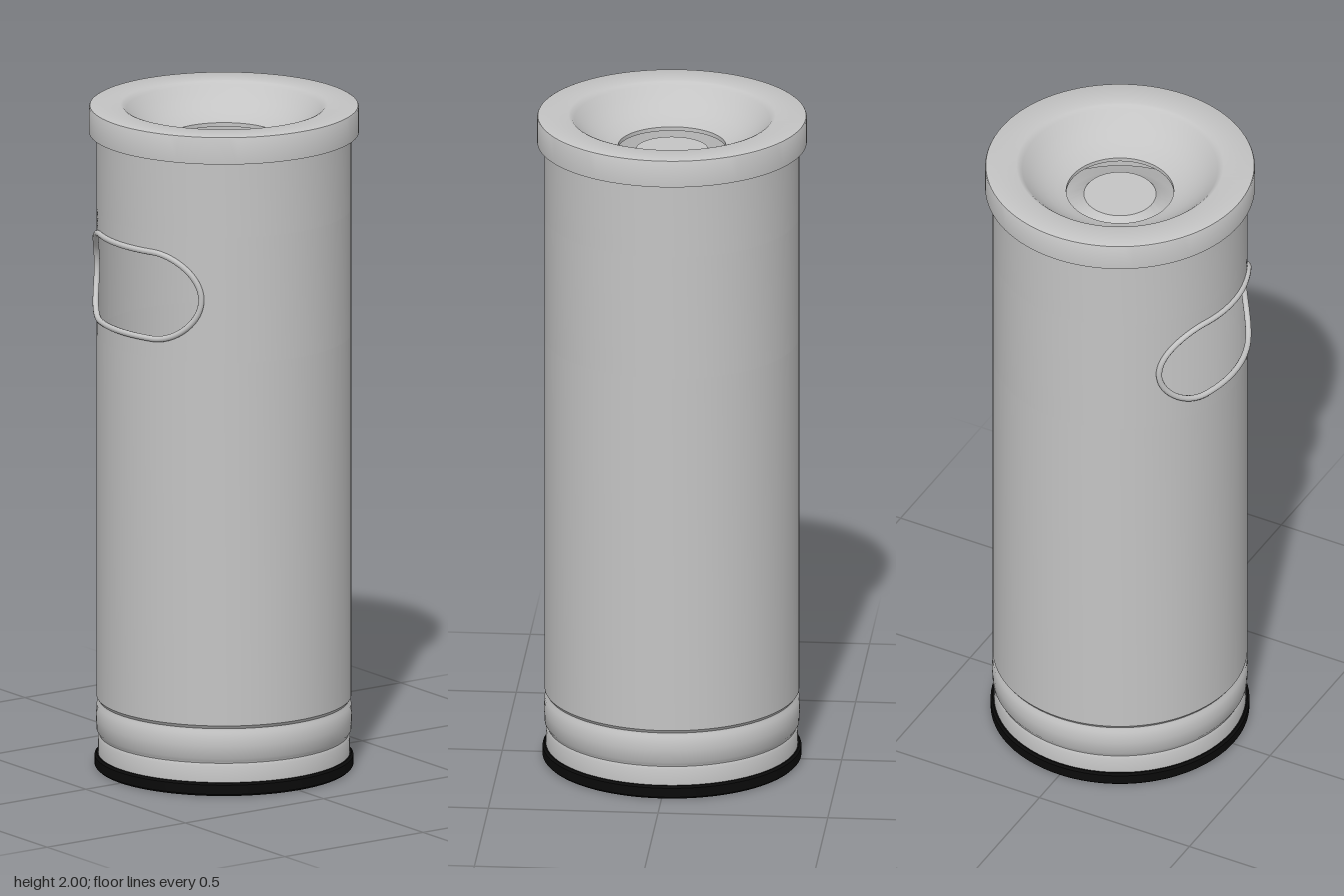
import * as THREE from 'three';
import { toCreasedNormals } from 'three/addons/utils/BufferGeometryUtils.js';

const SEG = 96;                          // sides of the full cylinder
const R = 0.374;                         // body radius
const HALF = 16;                         // segments from the middle to the side of the front panel
const TH = (HALF / SEG) * Math.PI * 2;   // half angle of the front panel
const Y_MID = 1.5, Y_HALF = 0.19;        // panel centre and half height
const SLOT_R = 0.131, SLOT_FLAT = 0.129; // slot end radius and half straight length

const steel = new THREE.MeshStandardMaterial({ color: 0xc4c4c4, side: THREE.DoubleSide });
steel.name = 'brushed steel';
const rubber = new THREE.MeshStandardMaterial({ color: 0x0a0a0a });
rubber.name = 'black rubber';

function add(group, name, geometry, material) {
  const mesh = new THREE.Mesh(geometry, material);
  mesh.name = name;
  group.add(mesh);
}

// Turned part from [radius, height] pairs, with sharp corners kept sharp
function turned(points, segments = SEG, start = 0, length = Math.PI * 2) {
  const profile = points.map(([r, y]) => new THREE.Vector2(r, y));
  return toCreasedNormals(new THREE.LatheGeometry(profile, segments, start, length), 0.6);
}

// Point on the wall of the panel; u and v run from -1 to 1
function onWall(u, v, radius = R) {
  return new THREE.Vector3(Math.sin(u * TH) * radius, Y_MID + v * Y_HALF, Math.cos(u * TH) * radius);
}

// Scale along (u, v) at which the ray from the panel centre meets the slot edge
function slotScale(u, v) {
  let lo = 0, hi = 1;
  for (let k = 0; k < 30; k++) {
    const s = (lo + hi) / 2;
    const x = Math.abs(R * Math.sin(s * u * TH));
    const inside = Math.hypot(Math.max(x - SLOT_FLAT, 0), s * v * Y_HALF) < SLOT_R;
    if (inside) lo = s; else hi = s;
  }
  return lo;
}

// Panel outline, counterclockwise seen from outside
function panelOutline() {
  const n = HALF * 2, out = [];
  for (const side of [0, 1, 2, 3]) {
    for (let i = 0; i < n; i++) {
      const t = -1 + (2 * i) / n;
      out.push([[1, t], [-t, 1], [-1, -t], [t, -1]][side]);
    }
  }
  return out;
}

// Curved panel with the slot cut out, in rings from slot edge to panel edge
function slottedPanel(outline) {
  const rings = 6, n = outline.length, positions = [], normals = [], index = [];
  for (let j = 0; j <= rings; j++) {
    for (const [u, v] of outline) {
      const s = THREE.MathUtils.lerp(slotScale(u, v), 1, j / rings);
      const p = onWall(u * s, v * s);
      positions.push(p.x, p.y, p.z);
      normals.push(p.x / R, 0, p.z / R);
    }
  }
  for (let j = 0; j < rings; j++) {
    for (let i = 0; i < n; i++) {
      const a = j * n + i, b = j * n + ((i + 1) % n);
      index.push(a, a + n, b + n, a, b + n, b);
    }
  }
  const geometry = new THREE.BufferGeometry();
  geometry.setAttribute('position', new THREE.Float32BufferAttribute(positions, 3));
  geometry.setAttribute('normal', new THREE.Float32BufferAttribute(normals, 3));
  geometry.setIndex(index);
  return geometry;
}

export function createModel() {
  const model = new THREE.Group();
  model.name = 'ashtrayBin';

  // Rubber foot
  add(model, 'foot', turned([
    [0, 0.008], [0.33, 0.008], [0.34, 0], [0.374, 0], [0.38, 0.006],
    [0.38, 0.034], [0.374, 0.04], [0, 0.04],
  ]), rubber);

  // Lower wall with two pressed grooves
  add(model, 'lowerWall', turned([
    [0.37, 0.038], [0.37, 0.088], [0.366, 0.097], [0.368, 0.103], [0.374, 0.112],
    [0.376, 0.15], [0.374, 0.188], [0.368, 0.196], [0.367, 0.202], [R, 0.212],
    [R, Y_MID - Y_HALF],
  ]), steel);

  // Wall around the slot level, and above it
  add(model, 'middleWall', turned(
    [[R, Y_MID - Y_HALF], [R, Y_MID + Y_HALF]], SEG - HALF * 2, TH, Math.PI * 2 - TH * 2), steel);
  add(model, 'upperWall', turned([[R, Y_MID + Y_HALF], [R, 1.95]]), steel);

  // Front panel with the waste slot and its raised bead
  const outline = panelOutline();
  add(model, 'slotPanel', slottedPanel(outline), steel);
  const edge = outline.map(([u, v]) => {
    const s = slotScale(u, v);
    return onWall(u * s, v * s, R + 0.003);
  });
  add(model, 'slotBead', new THREE.TubeGeometry(
    new THREE.CatmullRomCurve3(edge, true), 160, 0.009, 10, true), steel);

  // Lid: rim, flat top and dished bowl with a central hole
  add(model, 'lid', turned([
    [0.365, 1.917], [0.396, 1.917], [0.396, 1.994], [0.394, 1.998], [0.39, 2],
    [0.304, 2], [0.296, 1.997], [0.287, 1.988], [0.27, 1.97], [0.245, 1.948],
    [0.215, 1.928], [0.185, 1.914], [0.158, 1.905], [0.158, 1.893],
  ]), steel);

  // Raised cap under the hole
  add(model, 'ashCap', turned([
    [0.3, 1.77], [0.24, 1.802], [0.17, 1.845], [0.122, 1.873], [0.106, 1.893], [0, 1.893],
  ]), steel);

  return model;
}
